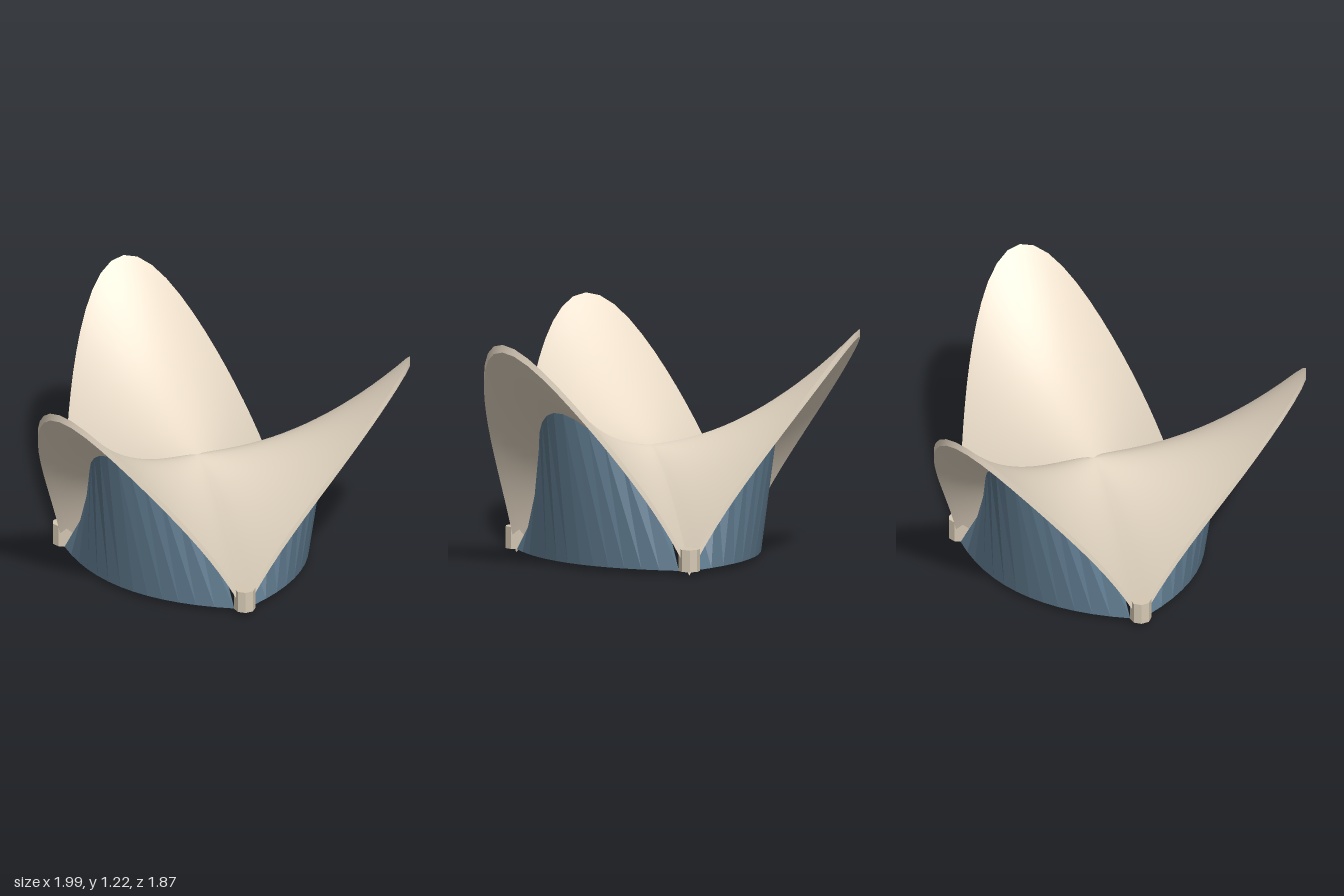
import * as THREE from 'three';

const CENTER_Y = 0.59, CENTER_Z = 0.17, THICK = 0.04;
const HALF = Math.PI / 3; // each lobe spans 60 degrees either side of its axis

// Plan radius of the rim: a parabola s = 1.11 - 2.04 w^2 in lobe coordinates
function rimRadius(a) {
  const q = 2.04 * Math.sin(a) ** 2, c = Math.cos(a);
  return (2 * 1.11) / (c + Math.sqrt(c * c + 4 * q * 1.11));
}

// Height of the shell's upper surface: rising along the axis, falling to the valleys
function shellY(r, a) {
  const R = rimRadius(a);
  const drop = 1.68 * (a / HALF) ** 2 * R * R * Math.pow(r / R, 1.6);
  return CENTER_Y + 0.12 * r + 0.41 * r * r - drop;
}

// Surface from a rule fn(u, v) -> [x, y, z], u and v in 0..1
function surface(fn, nu, nv, flip) {
  const pos = [], idx = [];
  for (let j = 0; j <= nv; j++)
    for (let i = 0; i <= nu; i++) pos.push(...fn(i / nu, j / nv));
  for (let j = 0; j < nv; j++)
    for (let i = 0; i < nu; i++) {
      const a = j * (nu + 1) + i, b = a + 1, c = a + nu + 1, d = c + 1;
      if (flip) idx.push(a, b, c, b, d, c);
      else idx.push(a, c, b, b, c, d);
    }
  const g = new THREE.BufferGeometry();
  g.setAttribute('position', new THREE.Float32BufferAttribute(pos, 3));
  g.setIndex(idx);
  g.computeVertexNormals();
  return g;
}

function shellPoint(u, v, offset) {
  const a = (u * 2 - 1) * HALF, r = v * rimRadius(a);
  return [r * Math.sin(a), shellY(r, a) - offset, r * Math.cos(a)];
}

// Glass wall: curved base line to a smaller curve just under the shell
function glassPoint(u, v) {
  const k = u * 2 - 1;
  const wb = 0.57 * k, sb = 0.57 - 0.56 * wb * wb;
  const wt = 0.42 * k, st = 0.69 - 2 * wt * wt;
  const yt = shellY(Math.hypot(wt, st), Math.atan2(wt, st)) - THICK;
  return [wb + (wt - wb) * v, 0.03 + (yt - 0.03) * v, sb + (st - sb) * v];
}

export function createModel() {
  const model = new THREE.Group();
  model.name = 'shellPavilion';
  const concrete = new THREE.MeshStandardMaterial({ color: 0xeadcc8, side: THREE.DoubleSide });
  const glass = new THREE.MeshStandardMaterial({ color: 0x5f7a8e, side: THREE.DoubleSide, flatShading: true });
  const footing = new THREE.MeshStandardMaterial({ color: 0xd6c9b4, flatShading: true });

  const add = (parent, geometry, material, name) => {
    const m = new THREE.Mesh(geometry, material);
    m.name = name;
    parent.add(m);
    return m;
  };

  const top = surface((u, v) => shellPoint(u, v, 0), 32, 20, false);
  const under = surface((u, v) => shellPoint(u, v, THICK), 32, 20, true);
  const rim = surface((u, v) => shellPoint(u, 1, v * THICK), 32, 1, false);
  const wall = surface(glassPoint, 13, 1, true);
  const foot = new THREE.CylinderGeometry(0.055, 0.055, 0.115, 8);

  // Three lobes, with a footing at each valley between them
  [Math.PI, HALF, -HALF].forEach((angle) => {
    const lobe = new THREE.Group();
    lobe.name = 'lobe';
    lobe.position.z = CENTER_Z;
    lobe.rotation.y = angle;
    add(lobe, top, concrete, 'roofTop');
    add(lobe, under, concrete, 'roofUnderside');
    add(lobe, rim, concrete, 'roofRim');
    add(lobe, wall, glass, 'glassWall');
    const a = HALF;
    add(lobe, foot, footing, 'footing').position.set(0.705 * Math.sin(a), 0.0875, 0.705 * Math.cos(a));
    model.add(lobe);
  });
  return model;
}
